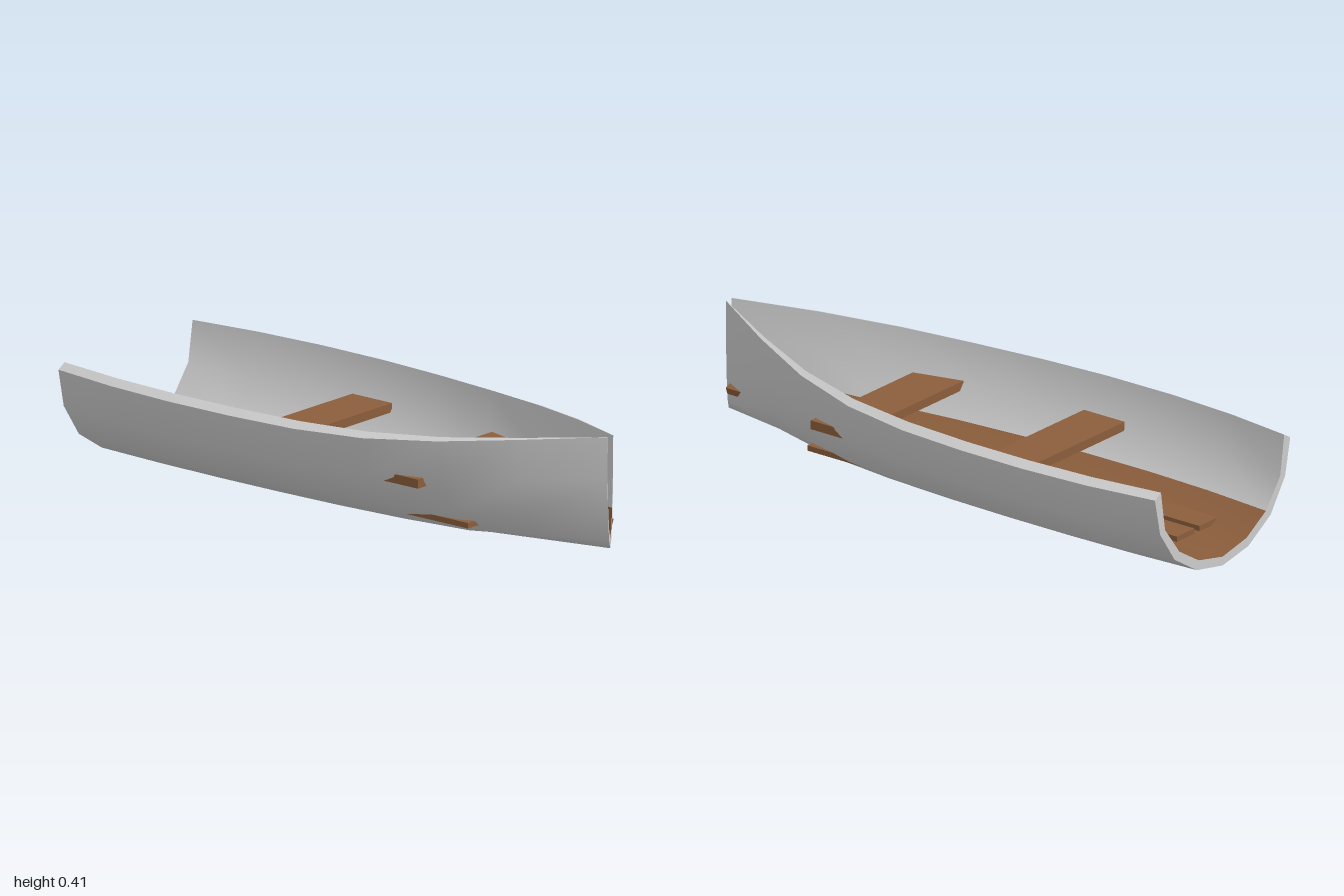
import * as THREE from 'three';

const grey = new THREE.MeshStandardMaterial({ color: 0xcccccc });
const brown = new THREE.MeshStandardMaterial({ color: 0x8b5e3c });

// Hull stations: z, half beam, keel height, sheer height, lift of the inner rim
const stations = [
  [-1, 0.345, 0, 0.33, 0.018],
  [-0.75, 0.38, 0, 0.33, 0.018],
  [-0.5, 0.395, 0, 0.33, 0.018],
  [-0.25, 0.393, 0, 0.33, 0.018],
  [0, 0.375, 0, 0.33, 0.018],
  [0.25, 0.335, 0, 0.337, 0.015],
  [0.5, 0.262, 0, 0.357, 0.009],
  [0.75, 0.15, 0.02, 0.384, 0.004],
  [1, 0.015, 0.04, 0.41, 0],
];
// Half sections at full beam, from keel to rim
const outerHalf = [[0, 0], [0.15, 0.025], [0.28, 0.096], [0.365, 0.205], [0.395, 0.33]];
const innerHalf = [[0, 0.03], [0.14, 0.056], [0.253, 0.117], [0.336, 0.213], [0.36, 0.33]];

// Places a mirrored section at a station, ordered from -x to +x
function section(half, [z, beam, keel, sheer, lift], isInner) {
  const side = half.map(([x, y], i) => new THREE.Vector3(
    x * beam / 0.395,
    keel + y / 0.33 * (sheer - keel) + (isInner && i === half.length - 1 ? lift : 0),
    z));
  const mirrored = side.slice(1).reverse().map((p) => new THREE.Vector3(-p.x, p.y, p.z));
  return [...mirrored, ...side];
}

// Skins rows of points with quads
function loft(rows, flip) {
  const n = rows[0].length;
  const index = [];
  for (let j = 0; j < rows.length - 1; j++) {
    for (let i = 0; i < n - 1; i++) {
      const a = j * n + i, b = a + 1, c = a + n, d = c + 1;
      if (flip) index.push(a, c, b, b, c, d);
      else index.push(a, b, c, b, d, c);
    }
  }
  const geometry = new THREE.BufferGeometry().setFromPoints(rows.flat());
  geometry.setIndex(index);
  geometry.computeVertexNormals();
  return geometry;
}

export function createModel() {
  const group = new THREE.Group();
  const add = (name, geometry, material) => {
    const mesh = new THREE.Mesh(geometry, material);
    mesh.name = name;
    group.add(mesh);
    return mesh;
  };
  const box = (name, w, h, d, x, y, z) => {
    const mesh = add(name, new THREE.BoxGeometry(w, h, d), brown);
    mesh.position.set(x, y, z);
    return mesh;
  };

  const outer = stations.map((s) => section(outerHalf, s, false));
  const inner = stations.map((s) => section(innerHalf, s, true));
  const last = stations.length - 1;

  // Hull skins and the brown floor strip
  add('outerHull', loft(outer, false), grey);
  add('rightInnerHull', loft(inner.map((r) => r.slice(0, 3)), true), grey);
  add('leftInnerHull', loft(inner.map((r) => r.slice(6)), true), grey);
  add('floor', loft(inner.map((r) => r.slice(2, 7)), true), brown);

  // Gunwales and the exposed end edges
  add('rightGunwale', loft(outer.map((r, i) => [r[0], inner[i][0]]), true), grey);
  add('leftGunwale', loft(outer.map((r, i) => [inner[i][8], r[8]]), true), grey);
  add('sternEdge', loft([outer[0], inner[0]], true), grey);
  add('bowEdge', loft([outer[last], inner[last]], false), grey);

  // Seats
  box('rearSeat', 0.65, 0.03, 0.165, 0, 0.21, -0.263);
  box('frontSeat', 0.57, 0.03, 0.17, 0, 0.21, 0.357);

  // Floorboards
  box('middleFloorboard', 0.09, 0.018, 1.4, 0, 0.066, -0.15);
  for (const side of [-1, 1]) {
    box(side < 0 ? 'rightFloorboard' : 'leftFloorboard', 0.095, 0.018, 1.4, side * 0.118, 0.066, -0.15);
  }

  // Small block tucked into the bow
  box('bowBlock', 0.045, 0.025, 0.13, 0.015, 0.121, 0.915).rotation.z = -0.35;

  return group;
}
